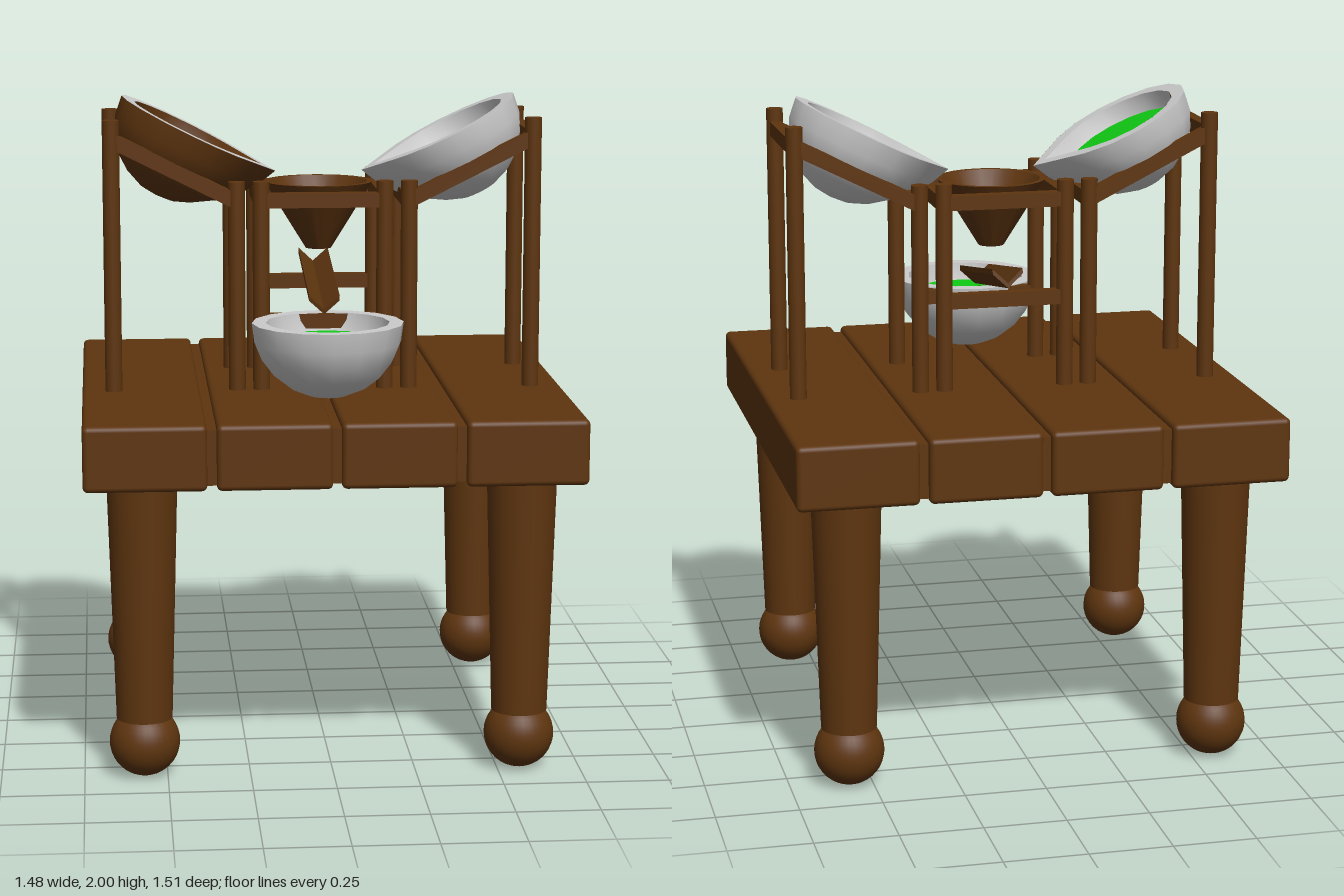
import * as THREE from 'three';
import { toCreasedNormals } from 'three/addons/utils/BufferGeometryUtils.js';
import { RoundedBoxGeometry } from 'three/addons/geometries/RoundedBoxGeometry.js';

const wood = new THREE.MeshStandardMaterial({ color: 0x5e350f });
const grey = new THREE.MeshStandardMaterial({ color: 0xcccccc });
const green = new THREE.MeshStandardMaterial({ color: 0x10cc14 });

function add(parent, name, geometry, material, x = 0, y = 0, z = 0) {
  const mesh = new THREE.Mesh(geometry, material);
  mesh.name = name;
  mesh.position.set(x, y, z);
  parent.add(mesh);
  return mesh;
}

// Pull a round outline into a pointed spout towards -x, fading out below the rim
function addSpout(geometry, depth = 0) {
  const p = geometry.attributes.position;
  for (let i = 0; i < p.count; i++) {
    const x = p.getX(i), z = p.getZ(i), r = Math.hypot(x, z);
    const reach = 0.07 * (1 + (p.getY(i) - depth) / 0.2);
    if (reach <= 0 || r < 0.01) continue;
    const tangent = Math.acos(r / (r + reach));
    const angle = Math.abs(Math.atan2(z, -x));
    if (angle >= tangent) continue;
    const k = 1 / Math.cos(tangent - angle);
    p.setX(i, x * k);
    p.setZ(i, z * k);
  }
  return geometry;
}

// Thick hemisphere with its rim at y = 0
function bowlGeometry(spout) {
  const profile = [];
  const steps = 6;
  for (let i = 0; i <= steps; i++) {
    const a = (i / steps) * Math.PI / 2;
    profile.push(new THREE.Vector2(0.23 * Math.sin(a), -0.23 * Math.cos(a)));
  }
  for (let i = steps; i >= 0; i--) {
    const a = (i / steps) * Math.PI / 2;
    profile.push(new THREE.Vector2(0.187 * Math.sin(a), -0.187 * Math.cos(a)));
  }
  const geo = new THREE.LatheGeometry(profile, 16, -Math.PI / 2);
  if (spout) addSpout(geo);
  return toCreasedNormals(geo, 0.7);
}

function makeBowl(name, spout) {
  const bowl = new THREE.Group();
  bowl.name = name;
  add(bowl, 'bowlShell', bowlGeometry(spout), grey);
  const depth = 0.055;
  const disc = new THREE.CircleGeometry(0.175, 16).rotateX(-Math.PI / 2);
  if (spout) addSpout(disc, depth);
  add(bowl, 'liquid', disc, green, 0, -depth, 0);
  return bowl;
}

export function createModel() {
  const model = new THREE.Group();
  model.name = 'pouringTable';

  // Table top: four planks over a recessed core
  const table = new THREE.Group();
  table.name = 'table';
  model.add(table);
  add(table, 'tableCore', new THREE.BoxGeometry(1.44, 0.165, 1.46), wood, 0, 1.008, 0);
  for (const [from, to] of [[-0.742, -0.38], [-0.352, -0.013], [0.013, 0.352], [0.38, 0.742]]) {
    add(table, 'plank', new RoundedBoxGeometry(to - from, 0.196, 1.51, 3, 0.016), wood,
      (from + to) / 2, 1.01, 0);
  }

  // Tapered legs on ball feet
  for (const x of [-0.568, 0.568]) {
    for (const z of [-0.568, 0.568]) {
      add(table, 'leg', new THREE.CylinderGeometry(0.106, 0.084, 0.76, 32), wood, x, 0.56, z);
      add(table, 'foot', new THREE.SphereGeometry(0.106, 32, 20), wood, x, 0.106, z);
    }
  }

  const post = (parent, x, z, top) => add(parent, 'post',
    new THREE.CylinderGeometry(0.026, 0.026, top - 1.1, 16), wood, x, (top + 1.1) / 2, z);
  const crossBar = (parent, x, y) => add(parent, 'crossBar',
    new THREE.BoxGeometry(0.036, 0.045, 0.38), wood, x, y, 0);

  // Centre frame holding the funnel and chute
  const centre = new THREE.Group();
  centre.name = 'centreFrame';
  model.add(centre);
  const rail = new THREE.BoxGeometry(0.38, 0.045, 0.036);
  for (const s of [-1, 1]) {
    for (const z of [-0.19, 0.19]) post(centre, 0.19 * s, z, 1.75);
    crossBar(centre, 0.19 * s, 1.692);
    add(centre, 'topRail', rail, wood, 0, 1.692, 0.19 * s);
  }
  add(centre, 'backChuteRail', rail, wood, 0, 1.387, -0.19);
  add(centre, 'frontChuteRail', rail, wood, 0, 1.32, 0.19);

  // Funnel
  const cone = [[0.025, 1.53], [0.04, 1.52], [0.17, 1.73], [0.152, 1.73], [0.025, 1.53]]
    .map(([x, y]) => new THREE.Vector2(x, y));
  add(centre, 'funnel', toCreasedNormals(new THREE.LatheGeometry(cone, 24), 0.6), wood);

  // V-shaped chute sloping down to the front
  const vee = new THREE.Shape([[0, -0.03], [0.047, 0.014], [0.047, 0.03], [0, -0.015],
    [-0.047, 0.03], [-0.047, 0.014]].map(([x, y]) => new THREE.Vector2(x, y)));
  const chuteGeo = new THREE.ExtrudeGeometry(vee, { depth: 0.48, bevelEnabled: false });
  chuteGeo.translate(0, 0, -0.24);
  add(centre, 'chute', chuteGeo, wood, 0, 1.417, 0.003).rotation.x = 0.175;

  // Collecting bowl
  const collector = makeBowl('collectingBowl', false);
  collector.position.set(0, 1.345, 0.378);
  model.add(collector);

  // Side stands, each tilting a spouted bowl towards the funnel
  const tilt = Math.atan2(0.19, 0.38);
  for (const side of [1, -1]) {
    const stand = new THREE.Group();
    stand.name = side > 0 ? 'leftStand' : 'rightStand';
    model.add(stand);
    for (const z of [-0.19, 0.19]) {
      post(stand, 0.645, z, 1.94);
      post(stand, 0.265, z, 1.75);
      add(stand, 'slopedRail', new THREE.BoxGeometry(0.425, 0.045, 0.036), wood,
        0.455, 1.785, z).rotation.z = tilt;
    }
    crossBar(stand, 0.645, 1.88);
    crossBar(stand, 0.265, 1.69);
    const bowl = makeBowl('pouringBowl', true);
    bowl.position.set(0.403, 1.896, 0);
    bowl.rotation.z = tilt;
    stand.add(bowl);
    if (side < 0) {
      // Brown coat showing on the front-facing surfaces of this bowl
      stand.rotation.y = Math.PI;
      add(bowl, 'brownCoat', bowlGeometry(true), wood, 0, -0.0008, -0.003);
    }
  }
  return model;
}
